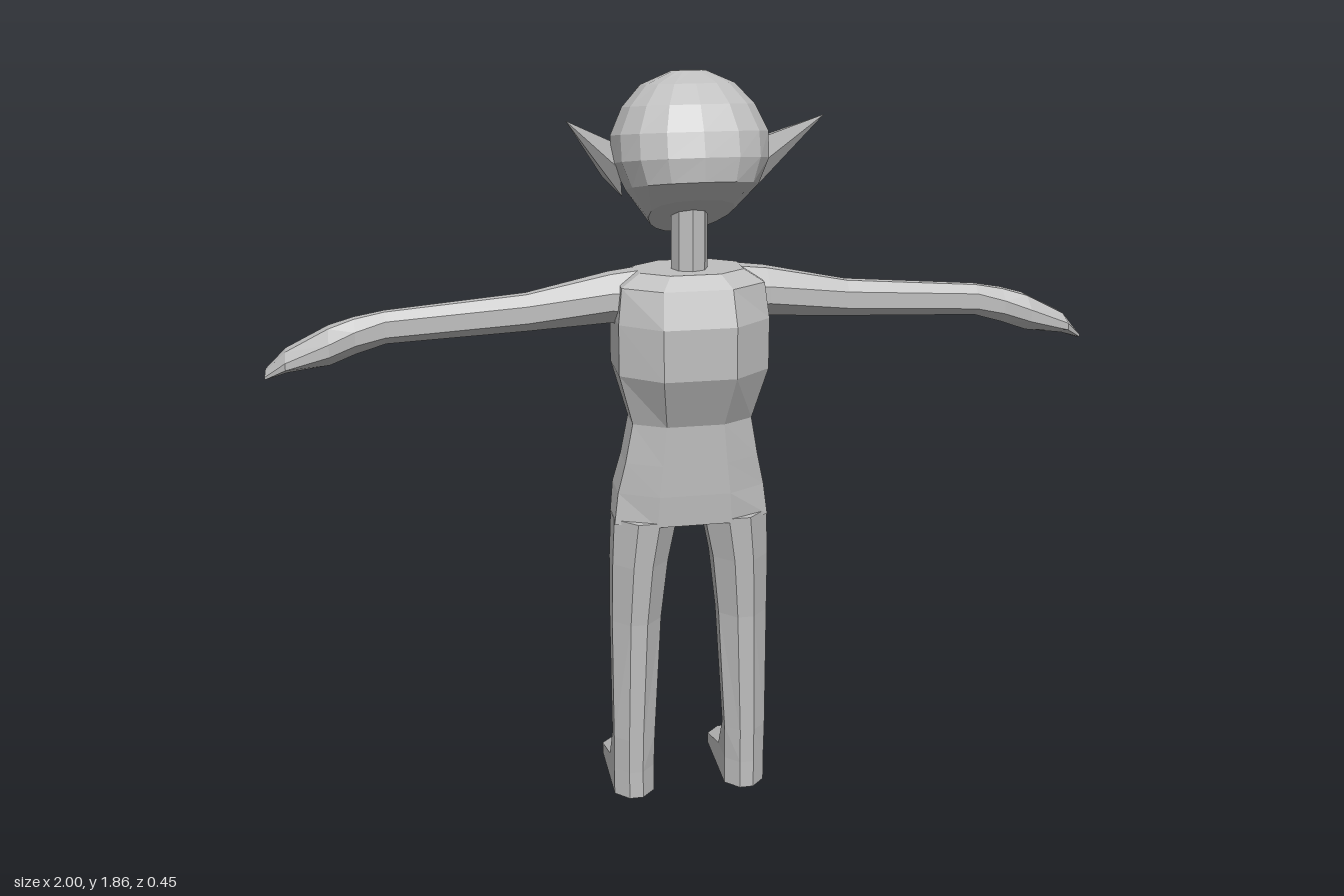
import * as THREE from 'three';
import { ConvexGeometry } from 'three/addons/geometries/ConvexGeometry.js';

const skin = new THREE.MeshStandardMaterial({ color: 0xbfbfbf });
skin.name = 'grey skin';
skin.flatShading = true;

// Faceted closed skin over rings of [x, y, z] points, always facing outwards
function loft(rings) {
  const tris = [];
  const n = rings[0].length;
  for (let r = 0; r < rings.length - 1; r++) {
    for (let i = 0; i < n; i++) {
      const j = (i + 1) % n;
      const a = rings[r][i], b = rings[r][j], c = rings[r + 1][j], d = rings[r + 1][i];
      tris.push([a, b, c], [a, c, d]);
    }
  }
  const cap = (ring, flip) => {
    const mid = [0, 1, 2].map(k => ring.reduce((s, p) => s + p[k], 0) / n);
    ring.forEach((p, i) => {
      const q = ring[(i + 1) % n];
      tris.push(flip ? [mid, q, p] : [mid, p, q]);
    });
  };
  cap(rings[0], true);
  cap(rings[rings.length - 1], false);
  // signed volume decides the winding
  const o = new THREE.Vector3(...rings[0][0]);
  let volume = 0;
  for (const t of tris) {
    const [a, b, c] = t.map(p => new THREE.Vector3(...p).sub(o));
    volume += a.dot(b.cross(c));
  }
  if (volume < 0) tris.forEach(t => t.reverse());
  const g = new THREE.BufferGeometry();
  g.setAttribute('position', new THREE.Float32BufferAttribute(tris.flat(2), 3));
  g.computeVertexNormals();
  return g;
}

// Eight-cornered outline of a bevelled rectangle
function octagon(u0, u1, v0, v1, k = 0.33) {
  const bu = k * (u1 - u0);
  const bv = k * Math.min(u1 - u0, v1 - v0);
  return [
    [u0 + bu, v0], [u1 - bu, v0], [u1, v0 + bv], [u1, v1 - bv],
    [u1 - bu, v1], [u0 + bu, v1], [u0, v1 - bv], [u0, v0 + bv],
  ];
}
const level = (y, x0, x1, z0, z1, k) => octagon(x0, x1, z0, z1, k).map(([x, z]) => [x, y, z]);
const slice = (x, y0, y1, z0, z1, k) => octagon(z0, z1, y0, y1, k).map(([z, y]) => [x, y, z]);

// Tilted head ring: back and front points, half width, narrowing towards the face
function headRing([yBack, zBack, yFront, zFront, w, taper]) {
  const pts = [];
  const n = 16;
  const soft = v => Math.sign(v) * Math.abs(v) ** 0.85;
  for (let i = 0; i < n; i++) {
    const a = (i / n) * Math.PI * 2;
    const t = (1 - soft(Math.cos(a))) / 2; // 0 at the back, 1 at the face
    pts.push([
      w * soft(Math.sin(a)) * (1 - taper * t),
      yBack + (yFront - yBack) * t,
      zBack + (zFront - zBack) * t,
    ]);
  }
  return pts;
}

export function createModel() {
  const model = new THREE.Group();
  model.name = 'figure';
  const add = (name, geometry) => {
    const mesh = new THREE.Mesh(geometry, skin);
    mesh.name = name;
    model.add(mesh);
  };
  const hull = pts => new ConvexGeometry(pts.map(p => new THREE.Vector3(...p)));

  // Head, tilted so that the chin drops towards the face
  add('head', loft([
    [1.585, 0.17, 1.456, -0.12, 0.12, 0.4],
    [1.635, 0.226, 1.545, -0.16, 0.168, 0.2],
    [1.69, 0.228, 1.615, -0.16, 0.186, 0.05],
    [1.745, 0.21, 1.685, -0.16, 0.184, 0],
    [1.80, 0.17, 1.755, -0.14, 0.155, 0],
    [1.84, 0.12, 1.815, -0.1, 0.11, 0],
    [1.862, 0.06, 1.858, 0, 0.04, 0],
  ].map(headRing)));

  // Nose
  add('nose', hull([
    [0, 1.67, -0.155], [0, 1.61, -0.208], [0, 1.56, -0.22],
    [0.04, 1.56, -0.145], [-0.04, 1.56, -0.145],
  ]));

  // Neck
  const neck = new THREE.CylinderGeometry(0.044, 0.044, 0.2, 8);
  neck.translate(0, 1.47, 0.04);
  add('neck', neck);

  // Torso: half width, front (-z) and back (+z) at each height
  add('torso', loft([
    [0.77, 0.193, -0.052, 0.115],
    [0.85, 0.183, -0.08, 0.12],
    [0.93, 0.165, -0.052, 0.122],
    [1.03, 0.147, -0.042, 0.124],
    [1.16, 0.182, -0.114, 0.183],
    [1.285, 0.182, -0.11, 0.183],
    [1.37, 0.172, -0.078, 0.155],
    [1.40, 0.125, -0.055, 0.12],
  ].map(([y, w, z0, z1]) => level(y, -w, w, z0, z1, 0.26))));

  for (const [side, s] of [['left', 1], ['right', -1]]) {
    const mirror = rings => rings.map(r => r.map(([x, y, z]) => [s * x, y, z]));

    // Pointed ear, swept out and back
    add(side + 'Ear', hull(mirror([[
      [0.298, 1.765, 0.125], [0.215, 1.70, -0.053], [0.195, 1.61, -0.04],
      [0.155, 1.57, 0.01], [0.16, 1.69, 0], [0.165, 1.64, 0.05],
    ]])[0]));

    // Leg with foot
    add(side + 'Leg', loft(mirror([
      level(0, 0.095, 0.2, -0.208, 0.08),
      level(0.03, 0.095, 0.2, -0.208, 0.08),
      level(0.075, 0.095, 0.2, -0.07, 0.08),
      level(0.17, 0.093, 0.2, -0.01, 0.082),
      level(0.5, 0.075, 0.2, -0.036, 0.092),
      level(0.66, 0.058, 0.198, -0.046, 0.106),
      level(0.78, 0.034, 0.193, -0.052, 0.115),
    ])));

    // Arm with mitten hand
    add(side + 'Arm', loft(mirror([
      slice(0.12, 1.26, 1.40, -0.045, 0.09),
      slice(0.19, 1.275, 1.392, -0.035, 0.08),
      slice(0.39, 1.265, 1.353, -0.004, 0.068),
      slice(0.72, 1.252, 1.328, 0.008, 0.066),
      slice(0.79, 1.232, 1.315, -0.002, 0.075),
      slice(0.85, 1.212, 1.298, -0.014, 0.1),
      slice(0.95, 1.198, 1.247, -0.022, 0.098),
      slice(1.0, 1.177, 1.195, -0.024, 0.056),
    ])));

    // Thumb
    add(side + 'Thumb', loft(mirror([
      slice(0.79, 1.235, 1.285, -0.008, 0.04),
      slice(0.85, 1.218, 1.26, -0.048, -0.01),
      slice(0.918, 1.198, 1.214, -0.092, -0.076),
    ])));
  }
  return model;
}
